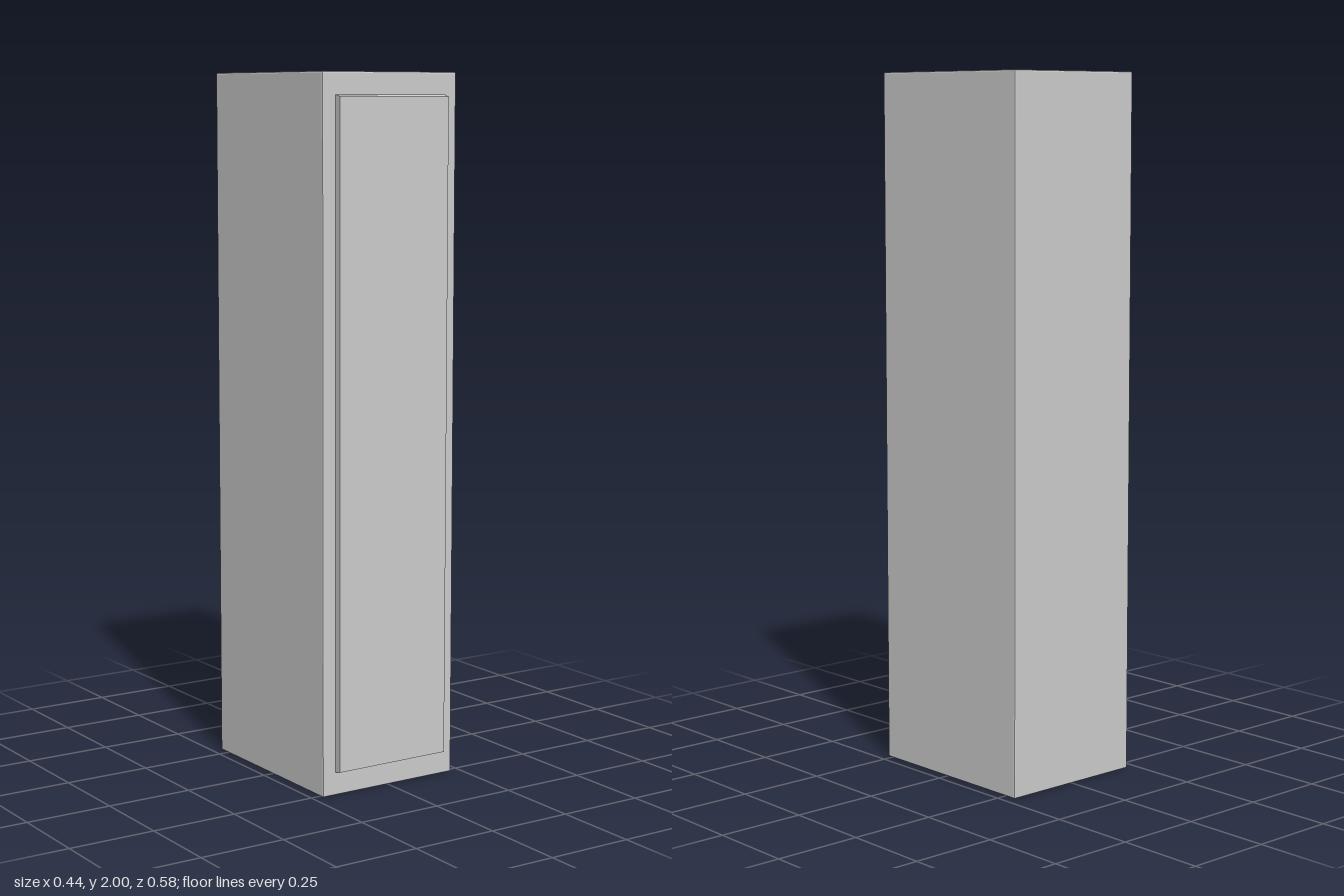
import * as THREE from 'three';
import { RoundedBoxGeometry } from 'three/addons/geometries/RoundedBoxGeometry.js';

export function createModel() {
  const group = new THREE.Group();
  const material = new THREE.MeshStandardMaterial({ color: 0xcccccc, flatShading: true });

  const add = (name, geometry, x, y, z) => {
    const mesh = new THREE.Mesh(geometry, material);
    mesh.name = name;
    mesh.position.set(x, y, z);
    group.add(mesh);
  };

  // Tall cabinet body with finely eased edges
  add('cabinetBody', new RoundedBoxGeometry(0.442, 2, 0.555, 1, 0.004), 0, 1, -0.0115);

  // Raised door panel, its top and bottom edges sloping in slightly towards the front
  const door = new THREE.BoxGeometry(0.36, 1.875, 0.027);
  const p = door.attributes.position;
  for (let i = 0; i < p.count; i++) {
    if (p.getZ(i) > 0) p.setY(i, p.getY(i) - Math.sign(p.getY(i)) * 0.006);
  }
  door.computeVertexNormals();
  add('doorPanel', door, 0, 1.002, 0.2745);

  return group;
}
